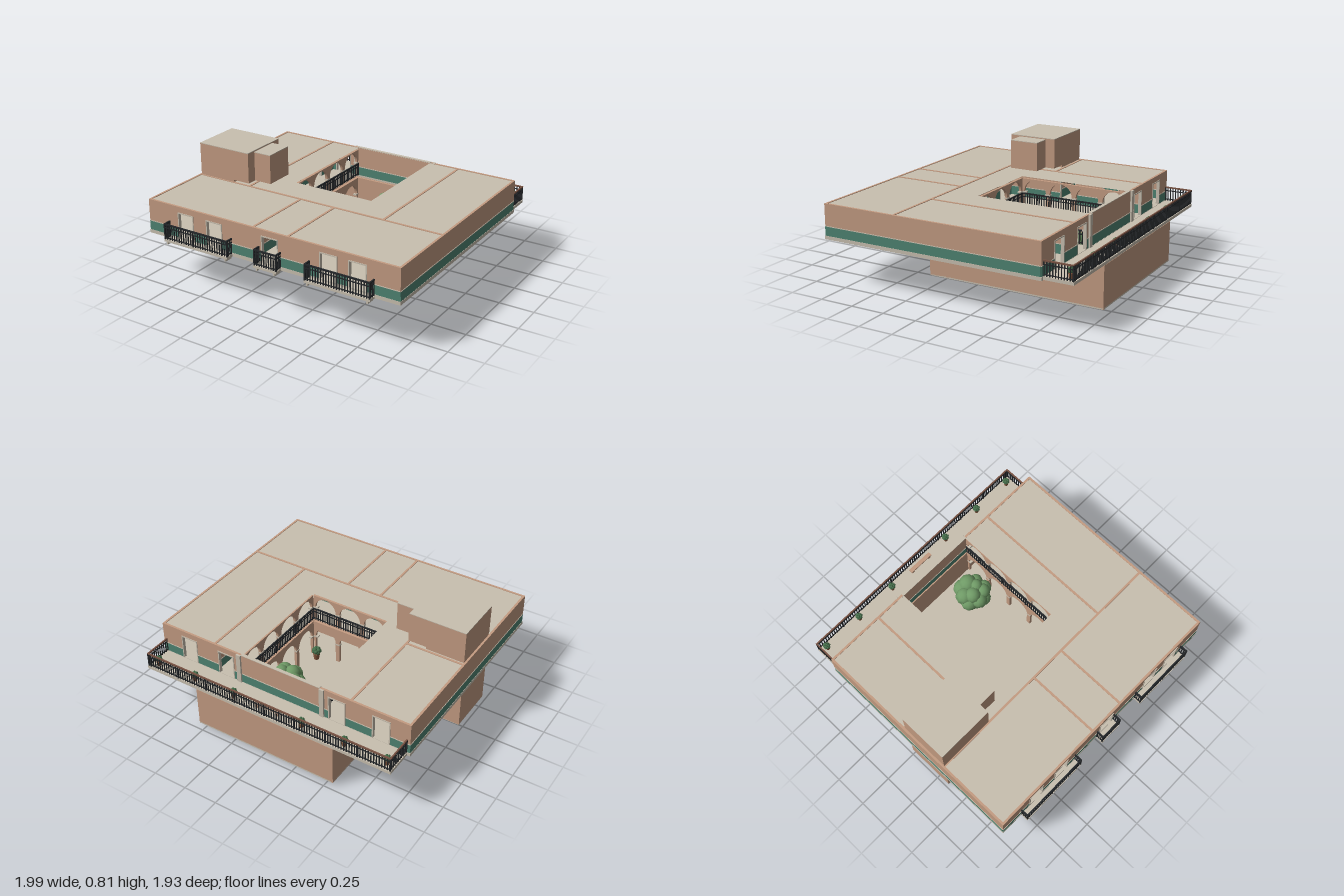
import * as THREE from 'three';
import { mergeGeometries } from 'three/addons/utils/BufferGeometryUtils.js';

const mat = (name, color, side = THREE.FrontSide) => {
  const m = new THREE.MeshStandardMaterial({ color, side });
  m.name = name;
  return m;
};

export function createModel() {
  const model = new THREE.Group();
  model.name = 'courtyardHouse';
  const terracotta = mat('terracotta plaster', 0xc49c82);
  const stone = mat('pale stone', 0xc9c0b0);
  const green = mat('green dado', 0x4f8472);
  const iron = mat('black iron', 0x24272a);
  const wood = mat('brown handrail', 0x7a5444);
  const leaf = mat('tree leaf', 0x6f9a66);
  const shrub = mat('shrub leaf', 0x47704c);
  const clay = mat('clay pot', 0x8a5a40);

  const add = (name, geo, m, parent = model) => {
    const mesh = new THREE.Mesh(geo, m);
    mesh.name = name;
    parent.add(mesh);
    return mesh;
  };
  // Box geometry from its two corners
  const boxGeo = (x0, x1, y0, y1, z0, z1) =>
    new THREE.BoxGeometry(x1 - x0, y1 - y0, z1 - z0).translate((x0 + x1) / 2, (y0 + y1) / 2, (z0 + z1) / 2);
  const box = (name, m, ...b) => add(name, boxGeo(...b), m);

  // Horizontal slab, with the courtyard cut out
  const court = { x: 0.31, z0: -0.735, z1: 0.11 };
  const slab = (name, m, x, z0, z1, y0, y1) => {
    const rect = (P, w, a, b) => new P([[-w, -a], [w, -a], [w, -b], [-w, -b]].map(p => new THREE.Vector2(...p)));
    const s = rect(THREE.Shape, x, z0, z1);
    s.holes.push(rect(THREE.Path, court.x, court.z0, court.z1));
    const g = new THREE.ExtrudeGeometry(s, { depth: y1 - y0, bevelEnabled: false });
    add(name, g.rotateX(-Math.PI / 2).translate(0, y0, 0), m);
  };

  // Banded wall along x or z, with framed door openings given by their centres
  const FLOOR = 0.345, DADO = 0.41, HEAD = 0.53, TOP = 0.571, DOOR = 0.063;
  const wall = (name, axis, at, from, to, doors = [], t = 0.016) => {
    const g = new THREE.Group();
    g.name = name;
    model.add(g);
    const part = (n, m, a, b, y0, y1, extra = 0) => {
      const h = t / 2 + extra;
      add(n, axis === 'x' ? boxGeo(a, b, y0, y1, at - h, at + h) : boxGeo(at - h, at + h, y0, y1, a, b), m, g);
    };
    const cuts = [from, ...doors.flatMap(d => [d - DOOR, d + DOOR]), to];
    for (let i = 0; i < cuts.length; i += 2) {
      part('dado', green, cuts[i], cuts[i + 1], FLOOR, DADO, 0.002);
      part('dadoTrim', stone, cuts[i], cuts[i + 1], DADO, DADO + 0.005, 0.003);
      part('wallFace', terracotta, cuts[i], cuts[i + 1], DADO + 0.005, TOP);
    }
    for (const d of doors) {
      part('lintel', terracotta, d - DOOR, d + DOOR, HEAD, TOP);
      part('frameHead', stone, d - DOOR, d + DOOR, HEAD - 0.008, HEAD, 0.004);
      for (const s of [-1, 1]) {
        const e = d + s * DOOR;
        part('frameJamb', stone, e - 0.004, e + 0.004, FLOOR, HEAD, 0.004);
      }
    }
  };

  // Iron railing following a list of [x, z] points
  const railing = (name, pts, y0, y1, topMat = iron) => {
    const bars = [], caps = [];
    for (let i = 0; i + 1 < pts.length; i++) {
      const [ax, az] = pts[i], [bx, bz] = pts[i + 1];
      const n = Math.max(1, Math.round(Math.hypot(bx - ax, bz - az) / 0.02));
      for (let k = 0; k <= n; k++) {
        const x = ax + (bx - ax) * k / n, z = az + (bz - az) * k / n;
        const r = k % 12 ? 0.003 : 0.005;
        bars.push(boxGeo(x - r, x + r, y0, y1, z - r, z + r));
      }
      const line = (y, r) => boxGeo(Math.min(ax, bx) - r, Math.max(ax, bx) + r, y - r, y + r, Math.min(az, bz) - r, Math.max(az, bz) + r);
      bars.push(line(y0 + 0.012, 0.003), line(y1 - 0.025, 0.003));
      caps.push(line(y1, 0.005));
    }
    add(name, mergeGeometries(bars), iron);
    add(name + 'Handrail', mergeGeometries(caps), topMat);
  };

  // Arcade: a wall whose lower edge is cut by a row of round arches
  const arcade = (name, length, n, y0, spring, y1) => {
    const s = new THREE.Shape(), bay = length / n, r = bay / 2 - 0.016;
    s.moveTo(0, y0);
    for (let i = 0; i < n; i++) {
      const c = (i + 0.5) * bay;
      s.lineTo(c - r, y0);
      s.lineTo(c - r, spring);
      s.absarc(c, spring, r, Math.PI, 0, true);
      s.lineTo(c + r, y0);
    }
    s.lineTo(length, y0);
    s.lineTo(length, y1);
    s.lineTo(0, y1);
    const mesh = add(name, new THREE.ExtrudeGeometry(s, { depth: 0.02, bevelEnabled: false, curveSegments: 16 }), terracotta);
    for (let i = 0; i <= n; i++) {
      const x = Math.min(Math.max(i * bay, 0.016), length - 0.016);
      add('capital', boxGeo(x - 0.019, x + 0.019, spring - 0.01, spring, -0.003, 0.023), stone, mesh);
    }
    return mesh;
  };

  // Lower storey
  const B = 0.55, BZ0 = -0.965, BZ1 = 0.36;
  box('lowerFloor', stone, -B, B, 0.02, 0.03, BZ0, BZ1);
  for (const s of [-1, 1]) {
    const x = s * (B - 0.01);
    box('lowerSideWall', terracotta, x - 0.01, x + 0.01, 0.021, 0.32, BZ0, BZ1);
  }
  box('lowerFrontWall', terracotta, -B, B, 0.021, 0.32, BZ1 - 0.02, BZ1);
  box('lowerBackWall', terracotta, -B, B, 0.021, 0.32, BZ0, BZ0 + 0.02);
  box('courtBackWall', terracotta, -B, B, 0.03, 0.32, -0.755, court.z0);

  // Main floor, terrace and roof
  slab('mainFloor', stone, 0.997, -0.757, 0.907, 0.32, FLOOR);
  box('frontSoffit', terracotta, -0.98, 0.98, 0.316, 0.32, 0.36, 0.89);
  box('terraceFloor', stone, -0.975, 0.975, 0.322, 0.343, -0.965, -0.755);
  slab('roof', stone, 0.99, -0.75, 0.9, 0.552, 0.567);

  // Outer walls
  wall('frontWall', 'x', 0.895, -0.993, 0.993, [-0.67, -0.428, 0.025, 0.475, 0.69]);
  wall('backWall', 'x', -0.745, -0.993, 0.993, [-0.78, -0.446, 0.445, 0.76]);
  wall('leftWall', 'z', 0.985, -0.75, 0.9);
  wall('rightWall', 'z', -0.985, -0.75, 0.9);
  box('courtCoping', stone, -0.315, 0.315, TOP, 0.575, -0.757, -0.733);
  for (const s of [-1, 1]) box('pilaster', stone, s * 0.333 - 0.017, s * 0.333 + 0.017, FLOOR, TOP, -0.767, -0.735);

  // Inner walls, showing as narrow ridges on the roof
  wall('middleWall', 'x', 0.345, -0.98, 0.98, [-0.43, 0.025, 0.45]);
  wall('rightGalleryWall', 'z', -0.55, -0.74, 0.345, [-0.5, -0.15]);
  wall('leftGalleryWall', 'z', 0.543, -0.74, 0.345, [-0.5, -0.05]);
  wall('rightPartition', 'x', -0.04, -0.98, -0.55);
  wall('passageWallRight', 'z', -0.112, 0.345, 0.89);
  wall('passageWallLeft', 'z', 0.162, 0.345, 0.89);

  // Two tiers of arches on three sides of the courtyard
  const depth = court.z1 - court.z0;
  for (const [tier, y0, spring, y1] of [['lower', 0.03, 0.19, 0.32], ['upper', FLOOR, 0.455, 0.552]]) {
    const f = arcade(tier + 'FrontArcade', court.x * 2, 3, y0, spring, y1);
    f.position.set(-court.x, 0, court.z1 + 0.001);
    for (const s of [-1, 1]) {
      const a = arcade(tier + 'SideArcade', depth, 4, y0, spring, y1);
      a.rotation.y = -Math.PI / 2;
      a.position.set(s > 0 ? court.x + 0.021 : -court.x - 0.001, 0, court.z0);
    }
  }
  railing('galleryRailing', [[-0.308, -0.73], [-0.308, 0.107], [0.308, 0.107], [0.308, -0.73]], FLOOR, 0.44);

  // Rear terrace railing and bench
  railing('terraceRailing', [[-0.968, -0.757], [-0.968, -0.957], [0.968, -0.957], [0.968, -0.757]], 0.343, 0.445, wood);
  box('benchSeat', terracotta, -0.1, 0.1, 0.37, 0.38, -0.922, -0.892);
  for (const x of [-0.08, 0.08]) box('benchLeg', terracotta, x - 0.01, x + 0.01, 0.343, 0.37, -0.918, -0.896);

  // Front balconies on small brackets
  for (const [a, b] of [[-0.82, -0.28], [-0.067, 0.115], [0.327, 0.815]]) {
    box('balconySlab', stone, a, b, 0.318, 0.334, 0.9, 0.965);
    for (const x of [a + 0.022, b - 0.022]) box('balconyBracket', stone, x - 0.006, x + 0.006, 0.298, 0.318, 0.9, 0.96);
    railing('balconyRailing', [[a + 0.006, 0.907], [a + 0.006, 0.958], [b - 0.006, 0.958], [b - 0.006, 0.907]], 0.334, 0.445);
  }

  // Stair shaft and roof rooms
  box('stairShaft', terracotta, -0.978, -0.69, 0.022, 0.6, -0.02, 0.343);
  box('shaftBase', stone, -0.978, -0.69, 0.018, 0.022, -0.02, 0.343);
  box('doorStep', terracotta, -0.702, -0.69, 0, 0.02, 0.17, 0.342);
  box('roofRoom', terracotta, -0.98, -0.555, 0.587, 0.808, -0.025, 0.345);
  box('roofRoomTop', stone, -0.98, -0.555, 0.808, 0.813, -0.025, 0.345);
  box('roofAnnex', terracotta, -0.555, -0.42, 0.587, 0.797, 0.05, 0.27);
  box('roofAnnexTop', stone, -0.555, -0.42, 0.797, 0.802, 0.05, 0.27);

  // Foliage built from clustered balls spread on a spiral
  const foliage = (name, m, x, y, z, spread, ball, n) => {
    const balls = [];
    for (let i = 0; i < n; i++) {
      const h = 1 - 2 * (i + 0.5) / n, r = Math.sqrt(1 - h * h), a = i * 2.4;
      const g = new THREE.SphereGeometry(ball * (0.85 + 0.3 * ((i * 7) % 5) / 4), 10, 8);
      balls.push(g.translate(x + Math.cos(a) * r * spread, y + h * spread * 0.75, z + Math.sin(a) * r * spread));
    }
    add(name, mergeGeometries(balls), m);
  };
  const plant = (x, y, z, r) => {
    add('pot', new THREE.CylinderGeometry(r * 0.7, r * 0.5, r * 1.3, 12).translate(x, y + r * 0.65, z), clay);
    foliage('shrub', shrub, x, y + r * 2, z, r * 0.66, r * 0.36, 18);
  };
  for (const x of [-0.92, -0.605, -0.277, 0.27, 0.597, 0.915]) plant(x, 0.343, -0.915, 0.027);
  for (const [x, z] of [[-0.26, -0.675], [-0.26, 0.057], [0.255, 0.057]]) plant(x, 0.03, z, 0.038);

  // Courtyard tree
  add('treeTrunk', new THREE.CylinderGeometry(0.012, 0.02, 0.2, 10).translate(0.14, 0.13, -0.5), clay);
  foliage('treeCrown', leaf, 0.14, 0.26, -0.5, 0.085, 0.06, 16);

  return model;
}
